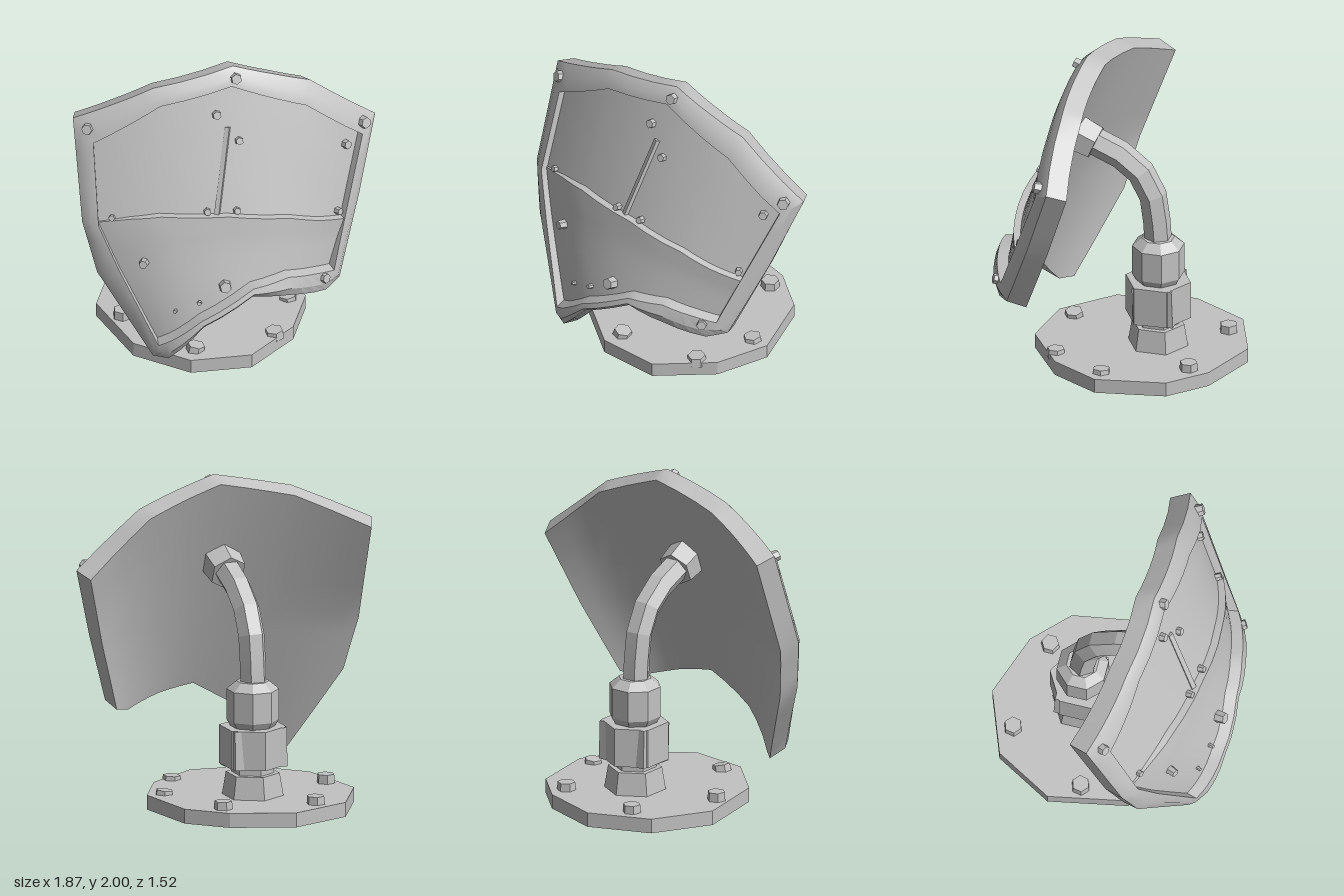
import * as THREE from 'three';
import { toCreasedNormals } from 'three/addons/utils/BufferGeometryUtils.js';

const metal = new THREE.MeshStandardMaterial({ color: 0xc2c2c2 });
metal.name = 'grey metal';

function add(group, name, geometry, crease = 0.4) {
  const mesh = new THREE.Mesh(toCreasedNormals(geometry, crease), metal);
  mesh.name = name;
  group.add(mesh);
  return mesh;
}

// Front surface of the bowed, backward-leaning shield
function depth(x, y) {
  const w = x < 0 ? 0.94 - Math.max(0, 1.08 - y) * 0.44 : 0.93 - Math.max(0, 1.48 - y) * 0.34;
  const u = Math.min(1.1, Math.abs(x) / w);
  return 0.24 + 0.38 * (2 - y) + 0.06 * x - 0.25 * u * u;
}
const on = (x, y, lift = 0) => new THREE.Vector3(x, y, depth(x, y) + lift);
function normalAt(x, y) {
  const e = 0.02;
  return new THREE.Vector3(
    (depth(x - e, y) - depth(x + e, y)) / (2 * e),
    (depth(x, y - e) - depth(x, y + e)) / (2 * e), 1).normalize();
}

// Outline rows, top to bottom, each listed left to right
const OUTER = [
  [[-0.93, 1.69], [-0.7, 1.795], [-0.46, 1.9], [0.03, 2.0], [0.28, 1.91], [0.51, 1.82], [0.93, 1.48]],
  [[-0.94, 1.08], [-0.62, 1.1], [-0.3, 1.1], [0, 1.1], [0.27, 1.08], [0.52, 1.06], [0.78, 1.03]],
  [[-0.87, 0.75], [-0.6, 0.76], [-0.31, 0.8], [0, 0.86], [0.25, 0.84], [0.49, 0.82], [0.69, 0.8]],
  [[-0.59, 0.24], [-0.51, 0.25], [-0.31, 0.48], [0, 0.65], [0.24, 0.61], [0.49, 0.545], [0.6, 0.57]],
];
const INNER = [
  [[-0.84, 1.57], [-0.64, 1.69], [-0.44, 1.81], [0, 1.9], [0.23, 1.8], [0.46, 1.7], [0.82, 1.41]],
  [[-0.86, 1.08], [-0.68, 1.125], [-0.5, 1.155], [-0.1, 1.14], [0.28, 1.07], [0.47, 1.0], [0.65, 0.94]],
  [[-0.76, 0.8], [-0.59, 0.85], [-0.41, 0.92], [-0.05, 0.97], [0.26, 0.93], [0.45, 0.88], [0.61, 0.83]],
  [[-0.57, 0.34], [-0.5, 0.39], [-0.33, 0.53], [0, 0.71], [0.23, 0.735], [0.42, 0.695], [0.55, 0.66]],
];
const N = 3;
const mix = (a, b, t) => a.map((v, i) => v + (b[i] - v) * t);
function subdivide(list, blend) {
  const out = [];
  for (let i = 0; i < list.length - 1; i++)
    for (let k = 0; k < N; k++) out.push(blend(list[i], list[i + 1], k / N));
  out.push(list[list.length - 1]);
  return out;
}
const refine = rows =>
  subdivide(rows.map(r => subdivide(r, mix)), (a, b, t) => a.map((p, i) => mix(p, b[i], t)));
function perimeter(rows) {
  const mid = rows.slice(1, -1), last = rows.length - 1;
  return [...rows[0], ...mid.map(r => r[r.length - 1]),
    ...[...rows[last]].reverse(), ...mid.map(r => r[0]).reverse()];
}

// Surface through rows of 3D points
function loft(rows, closed = false, flip = false) {
  const n = rows[0].length, pos = [], idx = [];
  rows.forEach(r => r.forEach(p => pos.push(p.x, p.y, p.z)));
  for (let r = 0; r < rows.length - 1; r++) {
    for (let c = 0; c < (closed ? n : n - 1); c++) {
      const d = (c + 1) % n, a = r * n + c, b = a + n, e = r * n + d, f = e + n;
      if (flip) idx.push(a, f, b, a, e, f);
      else idx.push(a, b, f, a, f, e);
    }
  }
  const g = new THREE.BufferGeometry();
  g.setAttribute('position', new THREE.Float32BufferAttribute(pos, 3));
  g.setIndex(idx);
  g.computeVertexNormals();
  return g;
}

function prism(sides, rTop, rBottom, y0, y1, turn = 0) {
  return new THREE.CylinderGeometry(rTop, rBottom, y1 - y0, sides)
    .rotateY(turn).translate(0, (y0 + y1) / 2, 0);
}

function buildShield() {
  const shield = new THREE.Group();
  shield.name = 'shield';
  const outer = refine(OUTER), inner = refine(INNER);
  const back = ([x, y]) => new THREE.Vector3(x * 0.95, y - 0.04, depth(x, y) - 0.13);
  const po = perimeter(outer), pi = perimeter(inner);

  // Raised rim, from the back edge round to the recess wall
  add(shield, 'rim', loft([
    po.map(back),
    po.map(p => on(...p, -0.015)),
    po.map((p, i) => on(...mix(p, pi[i], 0.45), 0.02)),
    pi.map(p => on(...p, 0.02)),
    pi.map(p => on(...mix(p, [-0.05, 1.1], 0.025), -0.06)),
  ], true), 0.6);
  add(shield, 'backPlate', loft(outer.map(r => r.map(back)), false, true), 0.8);

  // Recessed upper plate and the proud lower plate with its ledge
  add(shield, 'upperPlate', loft(inner.slice(0, N + 1).map(r => r.map(p => on(...p, -0.035)))), 0.6);
  const lower = inner.slice(N).map((r, i) => r.map(p => {
    const fade = Math.min(1, Math.max(0, (p[0] + 0.88) / 0.35));
    return on(...p, -0.03 + 0.04 * fade * (1 - i / N / 2) - 0.02 * i / N / 2);
  }));
  add(shield, 'lowerPlate', loft(lower), 0.6);
  add(shield, 'plateLedge', loft([inner[N].map(p => on(...p, -0.04)), lower[0]]));

  // Slim seam bar on the upper plate
  const a = on(-0.04, 1.64, -0.033), b = on(-0.16, 1.14, -0.033);
  const bar = add(shield, 'seamBar', new THREE.BoxGeometry(0.03, 0.03, a.distanceTo(b)));
  bar.position.copy(a).add(b).multiplyScalar(0.5);
  bar.lookAt(a);

  // Hex bolts: x, y, radius, lift
  const bolts = [
    [-0.86, 1.65, 0.037, 0.01], [0.03, 1.94, 0.037, 0.01], [0.83, 1.48, 0.04, 0.01],
    [0.47, 0.645, 0.034, 0.01], [-0.16, 0.72, 0.04, -0.02], [-0.62, 0.86, 0.03, 0],
    [-0.1, 1.72, 0.03, -0.03], [0.02, 1.555, 0.027, -0.03], [0.71, 1.365, 0.03, -0.03],
    [0.62, 0.985, 0.024, -0.02], [-0.22, 1.165, 0.024, -0.02], [-0.04, 1.155, 0.024, -0.02],
    [-0.77, 1.115, 0.022, -0.03], [-0.46, 0.56, 0.013, -0.025], [-0.32, 0.62, 0.015, -0.025],
  ];
  for (const [x, y, r, lift] of bolts) {
    const bolt = add(shield, 'shieldBolt', prism(6, r * 0.88, r, -0.02, r * 0.95));
    bolt.position.copy(on(x, y, lift));
    bolt.quaternion.setFromUnitVectors(new THREE.Vector3(0, 1, 0), normalAt(x, y));
  }
  return shield;
}

function buildBase() {
  const base = new THREE.Group();
  base.name = 'base';
  // Irregular ten-sided foot plate
  const foot = [[0.55, 0.03], [0.38, 0.33], [0.05, 0.55], [-0.32, 0.5], [-0.6, 0.22],
    [-0.69, -0.26], [-0.49, -0.61], [-0.11, -0.75], [0.27, -0.61], [0.48, -0.4]];
  const shape = new THREE.Shape(foot.map(([x, z]) => new THREE.Vector2(x, -z)));
  add(base, 'footPlate',
    new THREE.ExtrudeGeometry(shape, { depth: 0.09, bevelEnabled: false }).rotateX(-Math.PI / 2));

  // Foot bolts: x, z, top height, tilt
  const bolts = [[-0.31, -0.57, 0.14, 0], [0.26, -0.48, 0.14, 0], [0.44, 0.02, 0.115, 0.1],
    [-0.58, -0.08, 0.145, 0], [-0.26, 0.39, 0.125, -0.2], [0.25, 0.36, 0.115, 0.05]];
  for (const [x, z, top, tilt] of bolts) {
    const bolt = add(base, 'footBolt', prism(6, 0.054, 0.06, -0.03, top - 0.09, x * 4));
    bolt.position.set(x, 0.09, z);
    bolt.rotation.z = tilt;
  }
  return base;
}

function buildPost() {
  const post = new THREE.Group();
  post.name = 'post';
  post.position.set(-0.05, 0, -0.2);
  // Stacked hexagonal collars
  add(post, 'lowerCollar', prism(6, 0.165, 0.19, 0.08, 0.23));
  add(post, 'neck', prism(6, 0.13, 0.13, 0.22, 0.29));
  add(post, 'largeNut', prism(6, 0.205, 0.205, 0.28, 0.52));
  const block = add(post, 'clampBlock', new THREE.BoxGeometry(0.34, 0.24, 0.25));
  block.position.set(0, 0.395, -0.01);
  block.rotation.x = 0.04;
  add(post, 'collarFoot', prism(8, 0.16, 0.13, 0.51, 0.56, Math.PI / 8));
  add(post, 'upperCollar', prism(8, 0.16, 0.16, 0.56, 0.75, Math.PI / 8));
  add(post, 'collarCap', prism(8, 0.1, 0.16, 0.75, 0.8, Math.PI / 8));
  return post;
}

function buildArm() {
  const arm = new THREE.Group();
  arm.name = 'arm';
  // Bent hexagonal tube from the post to the shield
  const path = new THREE.CatmullRomCurve3([[0.74, -0.2], [0.9, -0.19], [1.09, -0.16],
    [1.27, -0.045], [1.37, 0.15], [1.45, 0.35]].map(([y, z]) => new THREE.Vector3(-0.055, y, z)));
  add(arm, 'bentTube', new THREE.TubeGeometry(path, 6, 0.085, 6), 0.15);
  // Hex mount at the back of the shield
  const mount = add(arm, 'mountNut', prism(6, 0.13, 0.115, -0.06, 0.1));
  mount.position.set(-0.055, 1.405, 0.25);
  mount.rotation.x = 1.17;
  return arm;
}

export function createModel() {
  const model = new THREE.Group();
  model.name = 'shieldOnStand';
  model.add(buildBase(), buildPost(), buildArm(), buildShield());
  return model;
}
